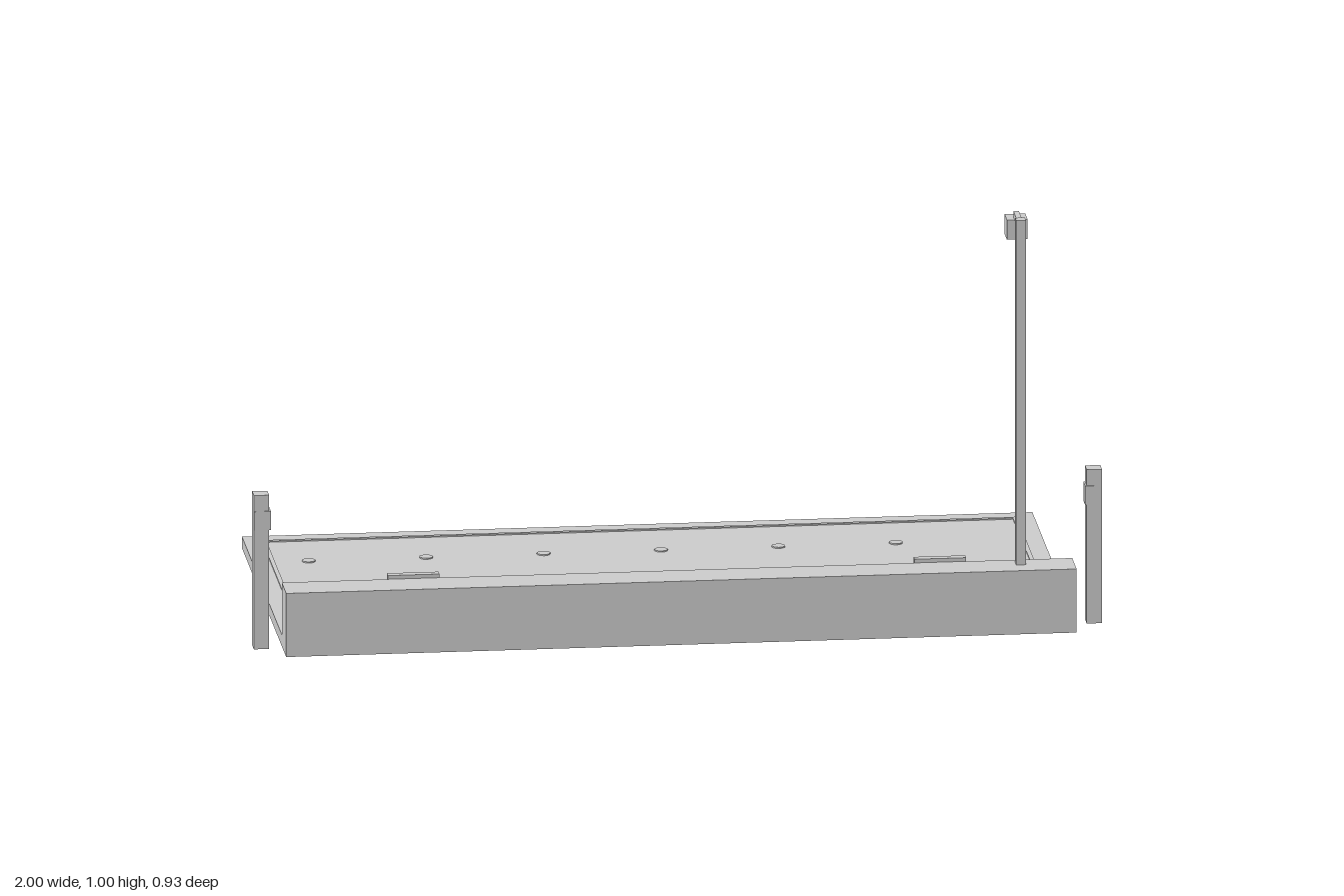
import * as THREE from 'three';

export function createModel() {
  const model = new THREE.Group();
  const grey = new THREE.MeshStandardMaterial({ color: 0xcccccc, flatShading: true });

  // Box given by its lower and upper bounds on each axis
  function box(name, [x0, x1], [y0, y1], [z0, z1], parent = model) {
    const mesh = new THREE.Mesh(new THREE.BoxGeometry(x1 - x0, y1 - y0, z1 - z0), grey);
    mesh.position.set((x0 + x1) / 2, (y0 + y1) / 2, (z0 + z1) / 2);
    mesh.name = name;
    parent.add(mesh);
    return mesh;
  }

  // Floor slab and low front wall
  const floorTop = 0.028;
  box('floorSlab', [-0.932, 0.932], [0, floorTop], [-0.465, 0.372]);
  box('frontWall', [-0.932, 0.932], [0, 0.155], [0.372, 0.465]);

  // Thin raised border lines on the floor
  const lineTop = floorTop + 0.003;
  box('backBorderLine', [-0.89, 0.89], [floorTop, lineTop], [-0.42, -0.41]);

  for (const side of [-1, 1]) {
    const label = side > 0 ? 'left' : 'right';
    const span = (a, b) => (side > 0 ? [a, b] : [-b, -a]);

    box(label + 'BorderLine', span(0.88, 0.89), [floorTop, lineTop], [-0.41, 0.372]);

    // Panel on the back of the wall
    box(label + 'WallPanel', span(0.56, 0.682), [0.055, 0.164], [0.352, 0.372]);

    // Free-standing post: shaft, slightly wider band and cap
    const post = new THREE.Group();
    post.name = label + 'Post';
    box('postShaft', span(0.964, 1), [0, 0.29], [0.355, 0.392], post);
    box('postBand', span(0.96, 1), [0.29, 0.336], [0.355, 0.394], post);
    box('postCap', span(0.964, 1), [0.336, 0.375], [0.355, 0.392], post);
    model.add(post);
  }

  // Small studs in two staggered rows
  const studGeometry = new THREE.CylinderGeometry(0.016, 0.016, 0.003, 12);
  for (const [z, start] of [[-0.24, -0.8], [0.13, -0.53]]) {
    for (let i = 0; i < 6; i++) {
      const stud = new THREE.Mesh(studGeometry, grey);
      stud.name = 'floorStud';
      stud.position.set(start + i * 0.277, floorTop + 0.0015, z);
      model.add(stud);
    }
  }

  // Tall lamp standing on the wall, reaching over the floor
  const lamp = new THREE.Group();
  lamp.name = 'lamp';
  box('lampPole', [0.795, 0.818], [0.155, 0.995], [0.393, 0.416], lamp);
  box('lampArm', [0.8, 0.813], [0.973, 0.988], [0.312, 0.393], lamp);
  box('lampHead', [0.782, 0.831], [0.926, 0.974], [0.287, 0.337], lamp);
  model.add(lamp);

  return model;
}
